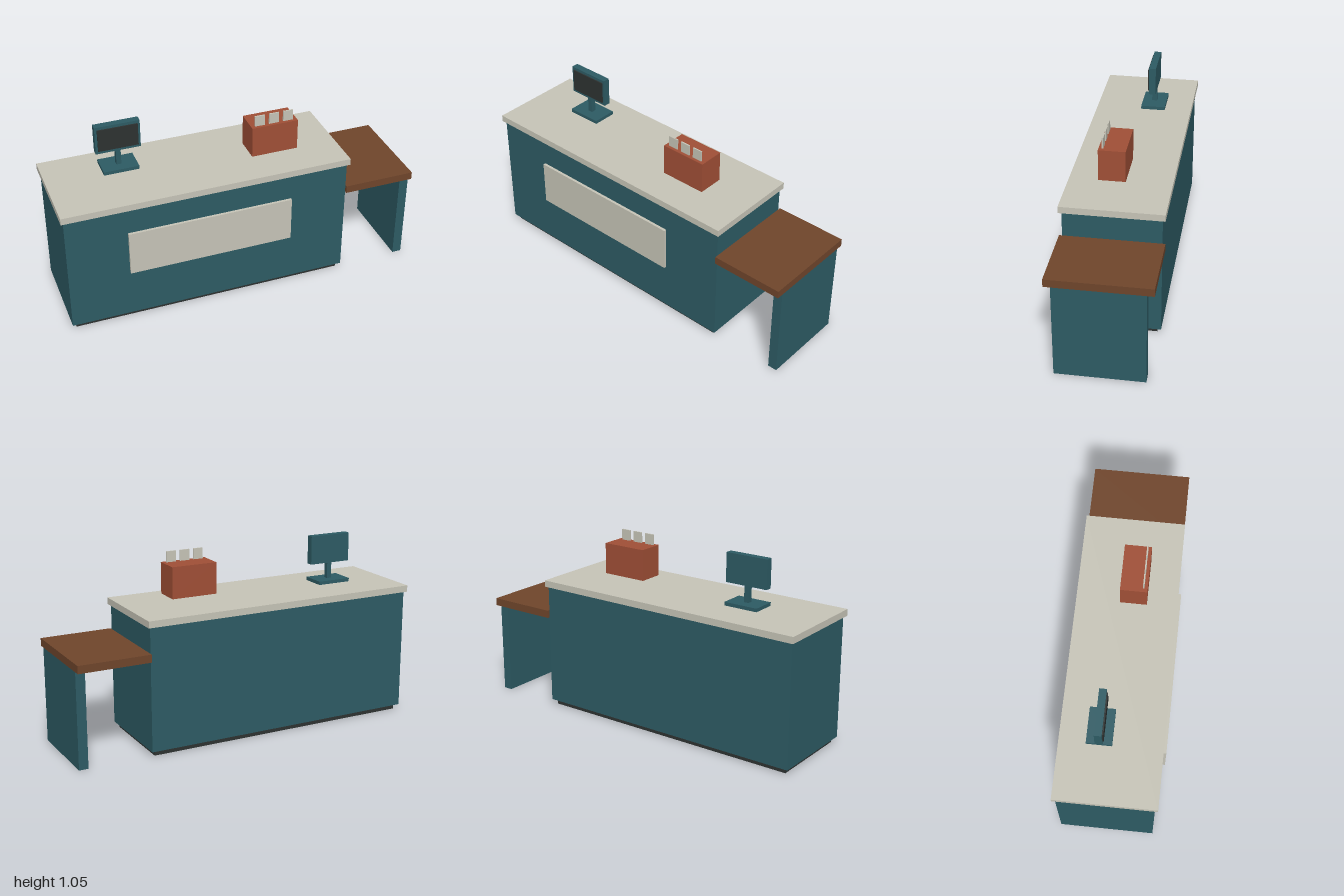
import * as THREE from 'three';

function material(name, color) {
  const m = new THREE.MeshStandardMaterial({ color });
  m.name = name;
  return m;
}

export function createModel() {
  const teal = material('teal paint', 0x2d5b64);
  const cream = material('cream laminate', 0xc6c4b7);
  const wood = material('brown wood', 0x6f452b);
  const rust = material('rust red', 0xa04f36);
  const dark = material('charcoal', 0x2d3231);

  // Box given by its extents on each axis
  const block = (parent, name, mat, [x0, x1], [y0, y1], [z0, z1]) => {
    const mesh = new THREE.Mesh(new THREE.BoxGeometry(x1 - x0, y1 - y0, z1 - z0), mat);
    mesh.position.set((x0 + x1) / 2, (y0 + y1) / 2, (z0 + z1) / 2);
    mesh.name = name;
    parent.add(mesh);
  };
  const section = (name) => {
    const g = new THREE.Group();
    g.name = name;
    model.add(g);
    return g;
  };

  const model = new THREE.Group();
  model.name = 'serviceCounter';
  const topDepth = [-0.283, 0.267];
  const insetDepth = [-0.246, 0.23];

  // Main counter
  const counter = section('counter');
  block(counter, 'plinth', dark, [-0.963, 0.575], [0, 0.03], insetDepth);
  block(counter, 'counterBody', teal, [-0.986, 0.597], [0.03, 0.713], [-0.268, 0.251]);
  block(counter, 'countertop', cream, [-1, 0.61], [0.713, 0.75], topDepth);
  block(counter, 'frontPanel', cream, [-0.655, 0.263], [0.321, 0.576], [0.268, 0.283]);

  // Lower side shelf with its end support
  const side = section('sideShelf');
  block(side, 'shelfTop', wood, [0.597, 1], [0.53, 0.573], topDepth);
  block(side, 'shelfSupport', teal, [0.948, 1], [0, 0.53], insetDepth);

  // Monitor
  const monitor = section('monitor');
  block(monitor, 'monitorBase', teal, [-0.697, -0.502], [0.778, 0.797], [-0.137, 0]);
  block(monitor, 'monitorPost', teal, [-0.613, -0.586], [0.797, 0.887], [-0.081, -0.053]);
  block(monitor, 'monitorHousing', teal, [-0.722, -0.476], [0.887, 1.047], [-0.086, -0.047]);
  block(monitor, 'monitorScreen', dark, [-0.709, -0.489], [0.904, 1.031], [-0.047, -0.04]);

  // Card box with a row of three cards
  const holder = section('cardHolder');
  block(holder, 'holderBox', rust, [0.1, 0.362], [0.78, 0.955], [-0.043, 0.102]);
  for (let i = 0; i < 3; i++) {
    const x = 0.149 + i * 0.081;
    block(holder, `card${i + 1}`, cream, [x - 0.028, x + 0.028], [0.955, 1.015], [0.077, 0.085]);
  }

  return model;
}
